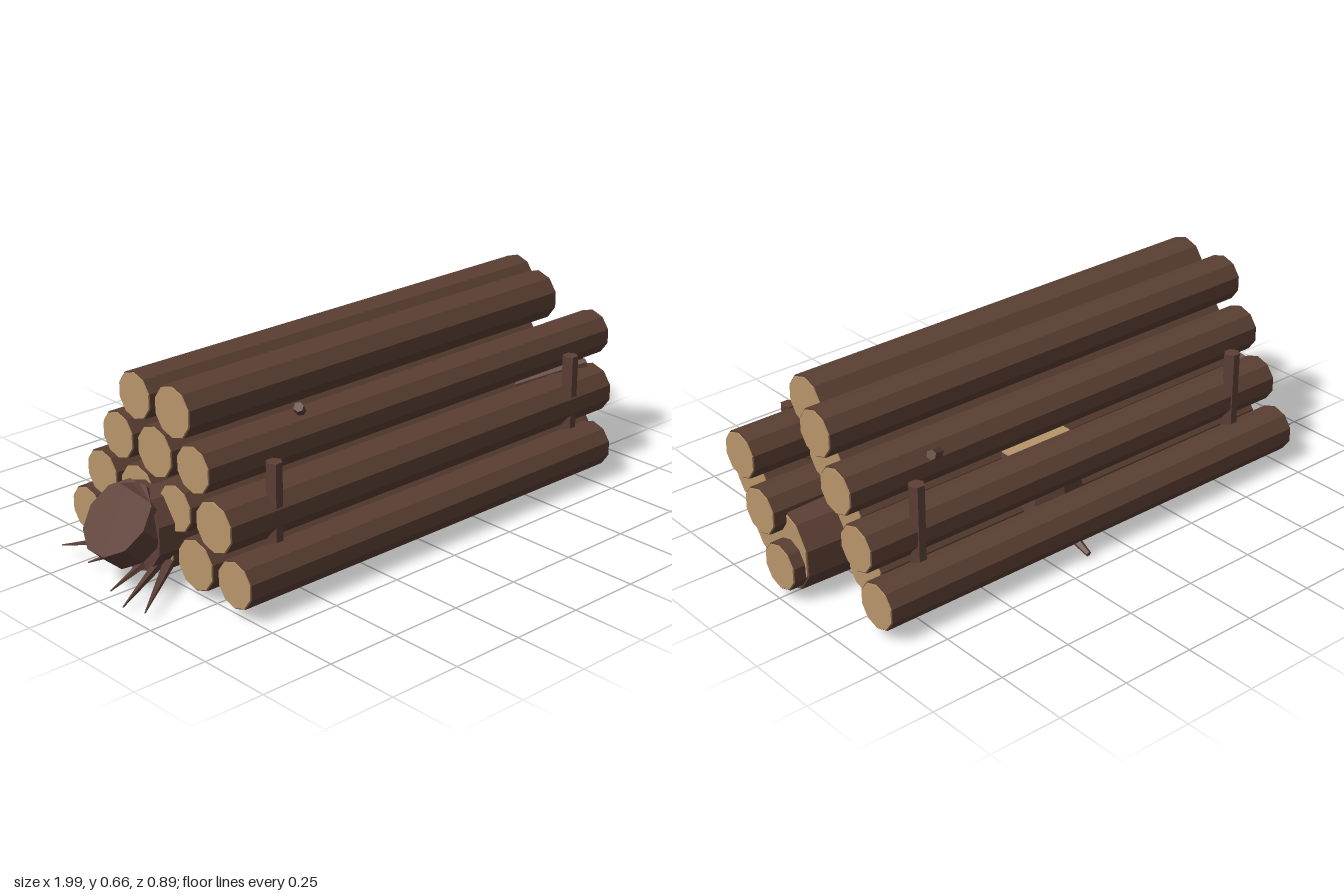
import * as THREE from 'three';

export function createModel() {
  const model = new THREE.Group();
  const mat = (name, color) => {
    const m = new THREE.MeshStandardMaterial({ color, flatShading: true });
    m.name = name;
    return m;
  };
  const bark = mat('bark', 0x5c4033);
  const deadBark = mat('deadBark', 0x5d4037);
  const wood = mat('cutWood', 0xb8956a);
  const V = (x, y, z) => new THREE.Vector3(x, y, z);
  const up = V(0, 1, 0);

  // Tapered rod from point a to point b
  function rod(parent, name, a, b, r0, r1, sides, material) {
    const dir = b.clone().sub(a);
    const mesh = new THREE.Mesh(new THREE.CylinderGeometry(r1, r0, dir.length(), sides), material);
    mesh.position.copy(a).add(b).multiplyScalar(0.5);
    mesh.quaternion.setFromUnitVectors(up, dir.normalize());
    mesh.name = name;
    parent.add(mesh);
    return mesh;
  }

  // Ten-sided log lying along x, a corner on top, pale cut discs at the ends
  function log(name, a, b, r0, r1, material, bothEnds) {
    const group = new THREE.Group();
    group.name = name;
    const length = a.distanceTo(b);
    const lay = (ra, rb, len, x, m, part) => {
      const g = new THREE.CylinderGeometry(rb, ra, len, 10);
      g.rotateY(Math.PI / 2).rotateZ(-Math.PI / 2).translate(x, 0, 0);
      const mesh = new THREE.Mesh(g, m);
      mesh.name = part;
      group.add(mesh);
    };
    lay(r0, r1, length, 0, material, 'trunk');
    lay(r1 * 0.95, r1 * 0.95, 0.008, length / 2, wood, 'cutEnd');
    if (bothEnds) lay(r0 * 0.95, r0 * 0.95, 0.008, -length / 2, wood, 'cutEnd');
    group.position.copy(a).add(b).multiplyScalar(0.5);
    group.quaternion.setFromUnitVectors(V(1, 0, 0), b.clone().sub(a).normalize());
    model.add(group);
  }

  // Pile: rows of 5, 4, 3 and 2 logs with staggered lengths
  for (let row = 0; row < 4; row++) {
    const count = 5 - row;
    for (let i = 0; i < count; i++) {
      const z = ((count - 1) / 2 - i) * 0.18;
      const y = 0.113 + row * 0.154;
      const r = (row + i) % 2 ? 0.085 : 0.078;
      const end = 0.805 + ((row + i) % 3) * 0.092;
      log('pileLog', V(-0.77, y, z), V(end, y, z), r, r, bark, true);
    }
  }

  // Upright six-sided stakes at the sides
  for (const x of [-0.585, 0.715]) {
    for (const z of [-0.325, 0.325]) {
      const post = rod(model, 'stake', V(x, 0.025, z), V(x, 0.44, z), 0.026, 0.026, 6, deadBark);
      post.rotation.y = Math.PI / 6;
    }
  }

  // Thick fallen trunk running through the pile
  log('fallenTrunk', V(-0.825, 0.175, -0.05), V(0.94, 0.145, 0.045), 0.143, 0.141, deadBark, false);

  // Broken branches poking out between the logs
  const branches = [
    [V(-0.15, 0.3, 0), V(-0.4, 0.53, 0.225)],
    [V(0.3, 0.31, -0.06), V(0.62, 0.48, -0.275)],
    [V(0.5, 0.25, 0.04), V(0.855, 0.365, 0.275)],
  ];
  for (const [a, b] of branches) rod(model, 'branch', a, b, 0.024, 0.016, 6, deadBark);

  // Tilted root plate at the trunk's end, with thin pointed roots
  rod(model, 'rootPlate', V(-0.82, 0.165, -0.05), V(-0.885, 0.225, -0.05), 0.13, 0.13, 10, deadBark);
  const tips = [[-1, 0.03, 0.12], [-0.98, 0.035, 0.2], [-0.91, 0.05, -0.31], [-0.9, 0.03, -0.19], [-0.97, 0.035, 0.02]];
  for (const [x, y, z] of tips) {
    const start = V(-0.74, 0.085, z * 0.3 - 0.03);
    rod(model, 'root', start, V(x, y, z), 0.022, 0.002, 5, deadBark);
  }

  // Two flared stumps standing under the pile, ringed with roots
  const stumps = [
    { x: 0.13, z: -0.15, base: 0.195, top: 0.14, height: 0.305, turn: 0.3 },
    { x: -0.455, z: 0.1, base: 0.165, top: 0.12, height: 0.235, turn: 0.1 },
  ];
  for (const s of stumps) {
    const group = new THREE.Group();
    group.name = 'stump';
    rod(group, 'stumpTrunk', V(0, 0.025, 0), V(0, s.height, 0), s.base, s.top, 10, deadBark);
    rod(group, 'stumpTop', V(0, s.height - 0.003, 0), V(0, s.height + 0.004, 0), s.top * 0.95, s.top * 0.95, 10, wood);
    for (let i = 0; i < 7; i++) {
      const a = s.turn + (i / 7) * Math.PI * 2;
      const reach = s.base + 0.08 + 0.03 * (i % 2);
      const at = (d, y) => V(Math.cos(a) * d, y, Math.sin(a) * d);
      rod(group, 'root', at(s.base * 0.6, 0.085), at(reach, 0.03), 0.028, 0.009, 5, deadBark);
    }
    group.position.set(s.x, 0, s.z);
    model.add(group);
  }

  return model;
}
